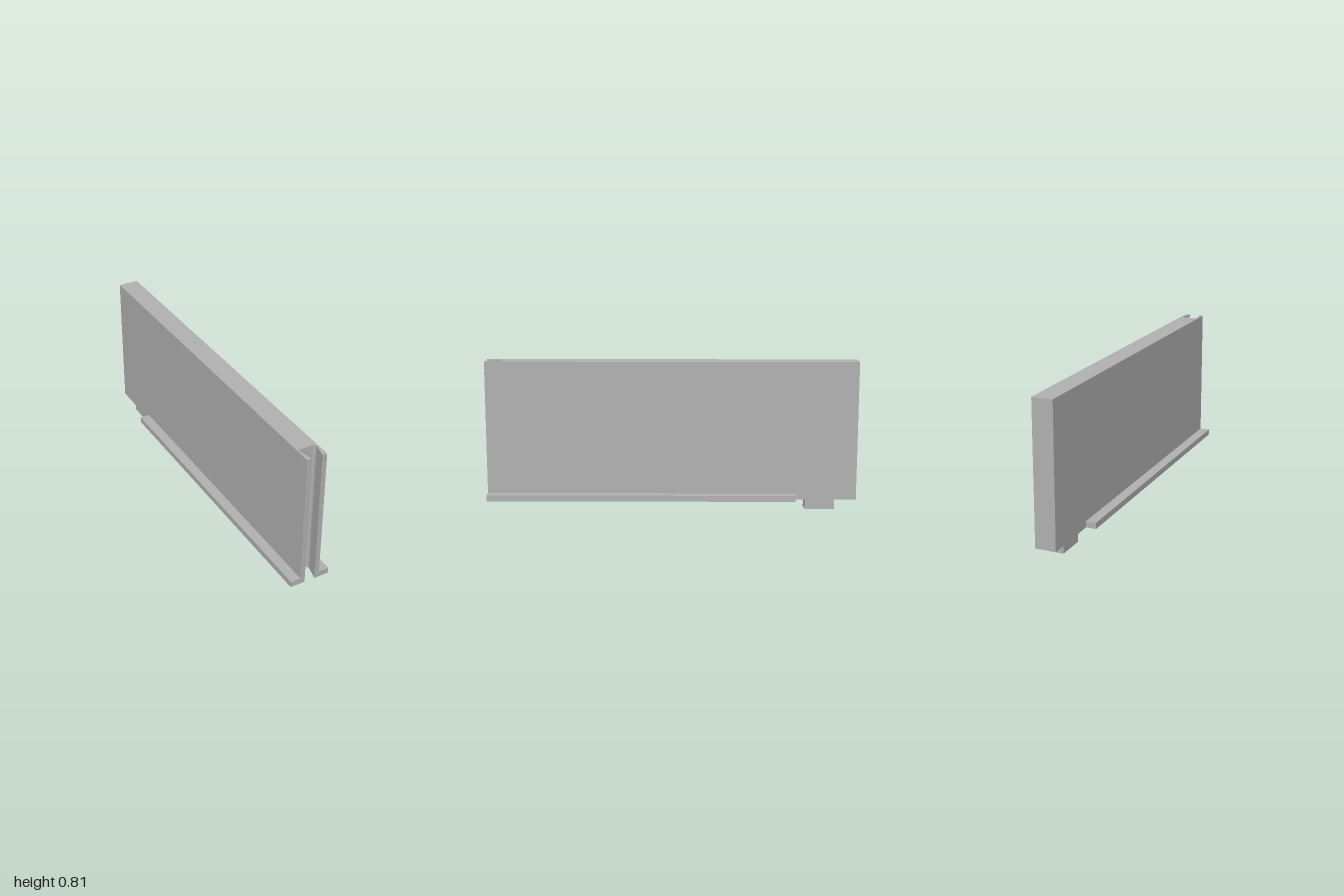
import * as THREE from 'three';

const grey = new THREE.MeshStandardMaterial({ color: 0xb2b2b2 });
grey.name = 'grey';

const BASE = 0.058, TOP = 0.81, HALF = 0.055;

function box(name, w, h, d, x, y, z) {
  const mesh = new THREE.Mesh(new THREE.BoxGeometry(w, h, d), grey);
  mesh.name = name;
  mesh.position.set(x, y, z);
  return mesh;
}

// Upright slab with a dovetail groove running down its front end (plan drawn as x, -z)
function wallPanel() {
  const s = new THREE.Shape();
  s.moveTo(-HALF, 1);
  s.lineTo(-HALF, -1);
  s.lineTo(-0.029, -1);
  s.lineTo(-0.045, -0.932);
  s.quadraticCurveTo(-0.048, -0.912, -0.034, -0.912);
  s.lineTo(0.034, -0.912);
  s.quadraticCurveTo(0.048, -0.912, 0.045, -0.932);
  s.lineTo(0.029, -1);
  s.lineTo(HALF, -1);
  s.lineTo(HALF, 1);
  s.closePath();
  const geo = new THREE.ExtrudeGeometry(s, { depth: TOP - BASE, bevelEnabled: false, curveSegments: 6 });
  geo.rotateX(-Math.PI / 2);
  geo.translate(0, BASE, 0);
  const mesh = new THREE.Mesh(geo, grey);
  mesh.name = 'wallPanel';
  return mesh;
}

export function createModel() {
  const group = new THREE.Group();
  group.name = 'slottedPanel';
  group.add(wallPanel());

  // Foot flanges along both sides, stopping short of the back
  for (const [name, side] of [['leftFlange', 1], ['rightFlange', -1]]) {
    group.add(box(name, 0.055, 0.033, 1.668, side * 0.0825, BASE + 0.0165, 0.166));
  }

  // Locating peg under the back end
  group.add(box('peg', 0.075, BASE, 0.162, 0, BASE / 2, -0.804));
  return group;
}
